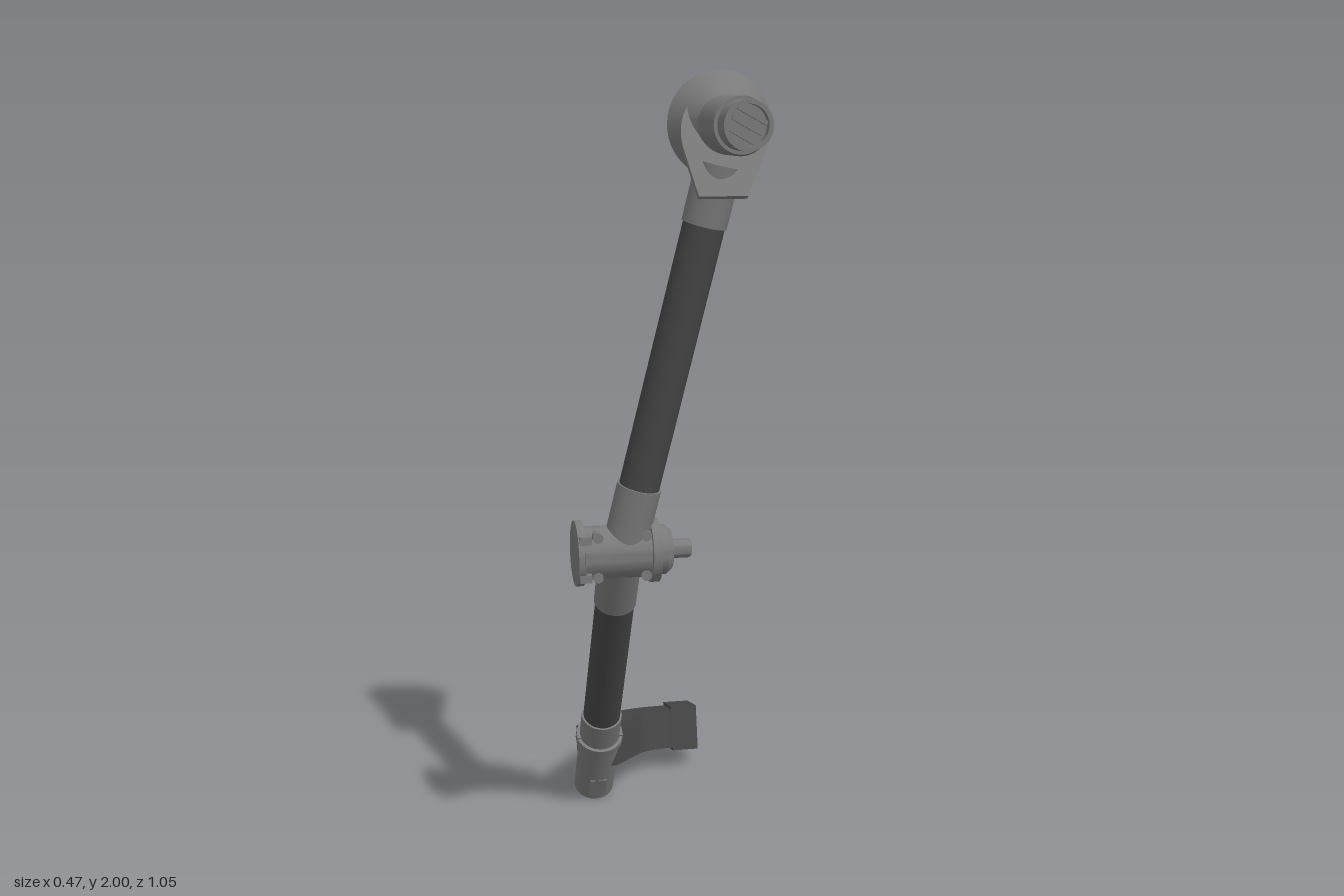
import * as THREE from 'three';
import { toCreasedNormals } from 'three/addons/utils/BufferGeometryUtils.js';

const V = (x, y, z) => new THREE.Vector3(x, y, z);

export function createModel() {
  const model = new THREE.Group();
  const grey = new THREE.MeshStandardMaterial({ color: 0x7a7a7a, side: THREE.DoubleSide });
  grey.name = 'metal grey';
  const dark = new THREE.MeshStandardMaterial({ color: 0x474747, side: THREE.DoubleSide });
  dark.name = 'dark tube';

  function add(name, geometry, material, parent = model) {
    const mesh = new THREE.Mesh(geometry, material);
    mesh.name = name;
    parent.add(mesh);
    return mesh;
  }
  // cylinder between two points
  function rod(name, a, b, ra, material = grey, rb = ra, open = false) {
    const dir = b.clone().sub(a);
    const mesh = add(name, new THREE.CylinderGeometry(rb, ra, dir.length(), 40, 1, open), material);
    mesh.position.copy(a).lerp(b, 0.5);
    mesh.quaternion.setFromUnitVectors(V(0, 1, 0), dir.normalize());
    return mesh;
  }
  function box(name, size, pos, material = grey) {
    const mesh = add(name, new THREE.BoxGeometry(...size), material);
    mesh.position.set(...pos);
    return mesh;
  }

  // upper arm: points are found by height along its axis
  const up = (y) => V(-0.118 + (y - 0.85) * 0.221, y, 0.213 + (y - 0.85) * 0.117);
  rod('upperArmLowerSleeve', up(0.85), up(1.015), 0.055);
  rod('upperArmTube', up(1.0), up(1.67), 0.05, dark);
  rod('upperArmUpperSleeve', up(1.65), up(1.79), 0.054);

  // lower arm: points are found by distance from the elbow
  const low = (s) => V(-0.125, 0.845 - 0.866 * s, 0.213 - 0.5 * s);
  rod('lowerArmUpperSleeve', low(0), low(0.175), 0.054);
  rod('lowerArmTube', low(0.16), low(0.64), 0.05, dark);
  rod('lowerArmLowerSleeve', low(0.63), low(0.94), 0.055);
  rod('wristCollar', low(0.715), low(0.735), 0.064);
  for (const side of [-1, 1]) {
    const lug = box('collarLug', [0.012, 0.03, 0.03], low(0.725).toArray());
    lug.position.x += side * 0.057;
    lug.rotation.x = Math.PI / 6;
  }
  const panel = box('wristPanel', [0.045, 0.065, 0.006], low(0.89).add(V(0, -0.026, 0.046)).toArray());
  panel.rotation.x = Math.PI / 6;

  // elbow hub turned around the x axis: [radius, x]
  const profile = [[0, -0.24], [0.081, -0.24], [0.081, -0.222], [0.066, -0.222], [0.066, -0.056],
    [0.08, -0.056], [0.08, -0.034], [0.062, -0.034], [0.062, -0.015], [0.048, 0],
    [0.024, 0], [0.024, 0.046], [0.02, 0.051], [0, 0.051]].map(([r, x]) => new THREE.Vector2(r, x));
  const hub = add('elbowHub', toCreasedNormals(new THREE.LatheGeometry(profile, 48), 0.5), grey);
  hub.rotation.z = -Math.PI / 2;
  hub.position.set(0, 0.847, 0.213);

  // screws and catches on the hub
  for (const x of [-0.19, -0.07]) for (const y of [-0.05, 0.05])
    rod('hubScrew', V(x, 0.847 + y, 0.23), V(x, 0.847 + y, 0.27), 0.013);
  for (const y of [0.8, 0.895]) box('hubTab', [0.03, 0.02, 0.05], [-0.222, y, 0.26]);
  box('hubCatch', [0.014, 0.03, 0.012], [-0.218, 0.856, 0.298]);

  // head barrel, hollow towards the back
  const hx = 0.107, hy = 1.877;
  const turnZ = (name, pts) => {
    const mesh = add(name, toCreasedNormals(
      new THREE.LatheGeometry(pts.map(([r, z]) => new THREE.Vector2(r, z)), 48), 0.5), grey);
    mesh.rotation.x = Math.PI / 2;
    mesh.position.set(hx, hy, 0);
  };
  turnZ('headBarrel', [[0.068, 0.285], [0.068, 0.455], [0.064, 0.465], [0.056, 0.465],
    [0.056, 0.528], [0.046, 0.528], [0.046, 0.505], [0, 0.505]]);
  turnZ('headFlare', [[0.124, 0.245], [0.068, 0.32]]);
  for (const i of [-1, 0, 1]) {
    const bar = box('headGrille', [0.075, 0.01, 0.012], [hx + i * 0.012, hy + i * 0.022, 0.51]);
    bar.rotation.z = -0.5;
  }

  // slanted teardrop bracket joining the head to the upper arm
  const tear = new THREE.Shape();
  tear.moveTo(-0.08, -0.155);
  tear.lineTo(0.035, -0.155);
  tear.lineTo(0.095, -0.03);
  tear.bezierCurveTo(0.13, 0.16, -0.13, 0.16, -0.105, -0.03);
  tear.closePath();
  const hole = new THREE.Path();
  hole.absellipse(0, 0.035, 0.066, 0.076, 0, Math.PI * 2, true);
  tear.holes.push(hole);
  const bracket = add('headBracket', toCreasedNormals(new THREE.ExtrudeGeometry(tear,
    { depth: 0.014, bevelEnabled: false, curveSegments: 24 }), 0.5), grey);
  bracket.position.set(hx, 1.848, 0.307);
  bracket.rotation.x = -0.5;

  // curved square duct, drawn flat and then tilted
  const duct = new THREE.Group();
  duct.name = 'outletDuct';
  duct.position.set(0, 0.219, 0);
  duct.rotation.x = -1.81;
  model.add(duct);
  const path = [[-0.128, 0.19, Math.PI / 3]], R = 0.185;
  for (let i = 0; i <= 14; i++) {
    const a = (Math.PI / 3) * (1 - i / 14);
    path.push([-0.032 + R * (0.866 - Math.sin(a)), 0.36 + R * (Math.cos(a) - 0.5), a]);
  }
  path.push([0.14, 0.4525, 0]);
  const side = (d) => path.map(([x, y, a]) =>
    new THREE.Vector2(x - Math.sin(a) * d, y + Math.cos(a) * d));
  const outline = new THREE.Shape([...side(-0.058), ...side(0.058).reverse()]);
  const ductGeo = new THREE.ExtrudeGeometry(outline, { depth: 0.11, bevelEnabled: false });
  ductGeo.translate(0, 0, -0.055);
  add('ductBody', toCreasedNormals(ductGeo, 0.5), dark, duct);

  // open square mouth of the duct
  const rect = (T, w, h) => new T([[-w, -h], [w, -h], [w, h], [-w, h]].map((p) => new THREE.Vector2(...p)));
  const frame = rect(THREE.Shape, 0.064, 0.06);
  frame.holes.push(rect(THREE.Path, 0.056, 0.052));
  const mouth = add('ductMouth', new THREE.ExtrudeGeometry(frame, { depth: 0.075, bevelEnabled: false }), dark, duct);
  mouth.rotation.y = Math.PI / 2;
  mouth.position.set(0.13, 0.4575, 0);

  return model;
}
